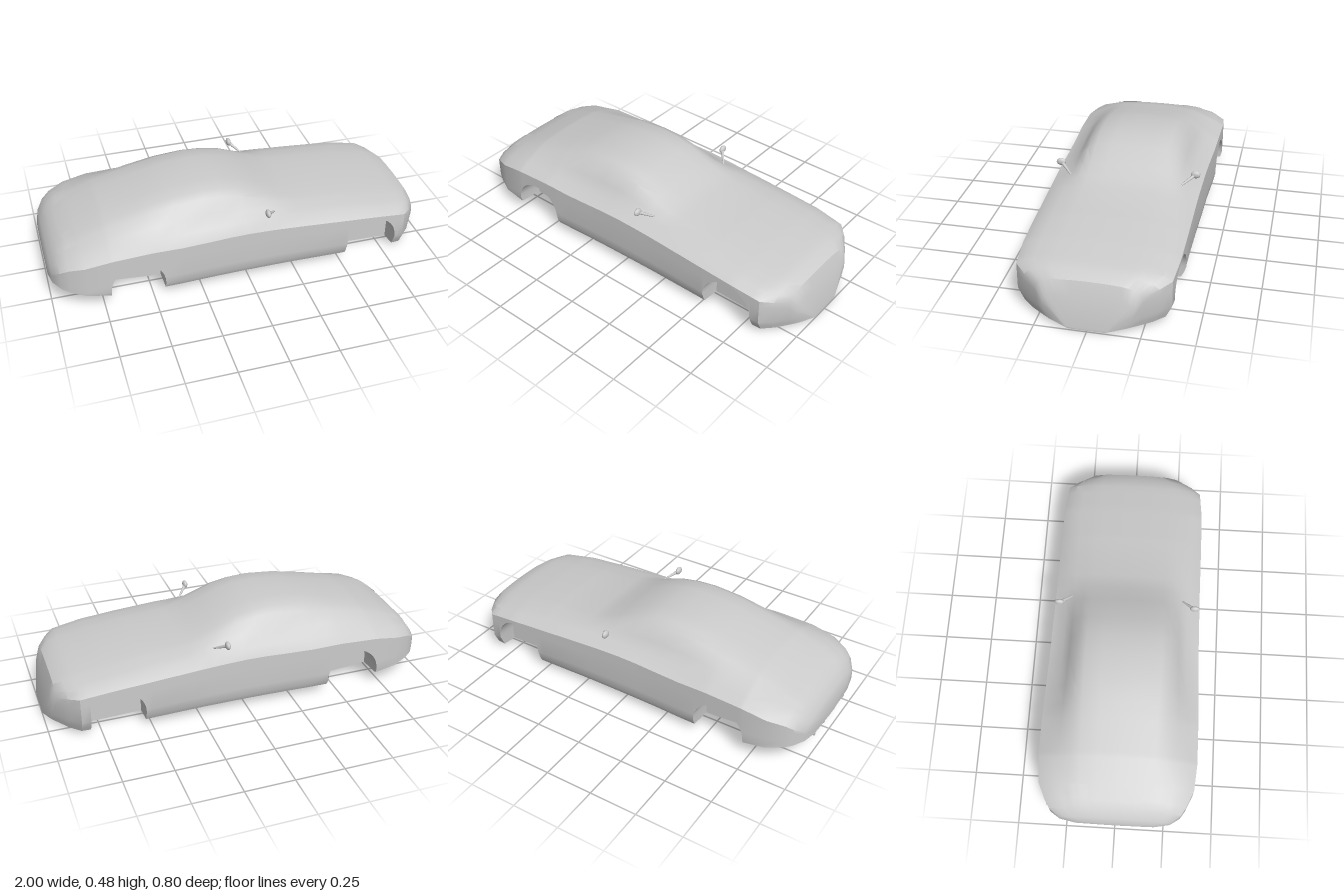
import * as THREE from 'three';
import { toCreasedNormals } from 'three/addons/utils/BufferGeometryUtils.js';

const material = new THREE.MeshStandardMaterial({ color: 0xcccccc });
const thin = new THREE.MeshStandardMaterial({ color: 0xcccccc, side: THREE.DoubleSide });

// Body stations, tail to nose:
// x, top y, floor y, half width, crease y, shoulder z, shoulder y, roof edge z, roof edge y
const stations = [
  [-1.0, 0.19, 0.105, 0.20, 0.155, 0.17, 0.175, 0.10, 0.186],
  [-0.985, 0.23, 0.103, 0.28, 0.18, 0.25, 0.205, 0.15, 0.224],
  [-0.95, 0.27, 0.095, 0.33, 0.215, 0.29, 0.245, 0.19, 0.264],
  [-0.91, 0.30, 0.083, 0.355, 0.24, 0.31, 0.27, 0.20, 0.294],
  [-0.83, 0.335, 0.07, 0.39, 0.262, 0.34, 0.295, 0.205, 0.327],
  [-0.7, 0.385, 0.045, 0.40, 0.285, 0.35, 0.315, 0.21, 0.372],
  [-0.5, 0.435, 0.028, 0.398, 0.293, 0.345, 0.322, 0.21, 0.422],
  [-0.35, 0.47, 0.026, 0.394, 0.288, 0.33, 0.322, 0.215, 0.453],
  [-0.2, 0.48, 0.026, 0.388, 0.29, 0.322, 0.322, 0.215, 0.467],
  [-0.1, 0.475, 0.027, 0.386, 0.294, 0.32, 0.322, 0.214, 0.461],
  [0.0, 0.455, 0.028, 0.385, 0.295, 0.32, 0.322, 0.212, 0.441],
  [0.12, 0.405, 0.026, 0.383, 0.29, 0.32, 0.32, 0.212, 0.39],
  [0.2, 0.37, 0.025, 0.382, 0.285, 0.322, 0.318, 0.212, 0.36],
  [0.28, 0.345, 0.023, 0.382, 0.28, 0.325, 0.315, 0.21, 0.338],
  [0.5, 0.33, 0.016, 0.382, 0.265, 0.33, 0.298, 0.21, 0.322],
  [0.7, 0.305, 0.01, 0.38, 0.25, 0.335, 0.277, 0.21, 0.297],
];
// Nose stations, where the plan rounds in
stations.push(
  [0.85, 0.28, 0.006, 0.367, 0.228, 0.325, 0.253, 0.21, 0.273],
  [0.90, 0.268, 0.004, 0.315, 0.212, 0.285, 0.237, 0.20, 0.261],
  [0.945, 0.24, 0.003, 0.25, 0.19, 0.23, 0.213, 0.17, 0.232],
  [0.97, 0.17, 0.004, 0.215, 0.13, 0.20, 0.15, 0.15, 0.164],
  [1.0, 0.022, 0.008, 0.12, 0.017, 0.10, 0.019, 0.06, 0.021],
);
const wells = [-0.578, 0.667];
const R = 0.137, HUB_Y = 0.1;

function stationAt(x) {
  let i = 1;
  while (i < stations.length - 1 && stations[i][0] < x) i++;
  const a = stations[i - 1], b = stations[i];
  const t = (x - a[0]) / (b[0] - a[0]);
  return a.map((v, k) => THREE.MathUtils.lerp(v, b[k], t));
}

// Half cross-section [z, y] from the floor centre to the roof centre.
// Under an arch the outer floor rises to form the wheel well.
function halfSection(x, arch) {
  const [, top, floor, w, crease, sz, sy, rz, ry] = stationAt(x);
  const edge = floor + Math.min(0.025, (top - floor) * 0.2);
  const low = Math.max(edge, arch);
  const inner = Math.min(0.26, w * 0.7);
  const side = (t) => {
    const y = THREE.MathUtils.lerp(low, crease, t);
    return [w - 0.03 * THREE.MathUtils.clamp((0.09 - y) / 0.06, 0, 1), y];
  };
  return [
    [0, floor], [inner, edge - (edge - floor) * 0.4], [inner, Math.max(low - (edge - floor) * 0.4, arch)],
    side(0), side(0.12), side(0.32), side(0.8), side(1),
    [sz, sy],
    [sz * 0.62 + rz * 0.38, sy * 0.66 + ry * 0.34 + (ry - sy) * 0.06],
    [rz + (sz - rz) * 0.2, ry - (ry - sy) * 0.14],
    [rz * 0.9, ry + (top - ry) * 0.2], [rz * 0.5, ry + (top - ry) * 0.75], [0, top],
  ];
}

function bodyGeometry() {
  // Columns: plain stations plus a fan of columns around each wheel arch
  const columns = [];
  for (const s of stations) {
    if (!wells.some((c) => Math.abs(s[0] - c) <= R)) columns.push([s[0], 0]);
  }
  for (const c of wells) {
    columns.push([c - R, 0]);
    for (let i = 0; i <= 18; i++) {
      const a = Math.PI * (1 - i / 18);
      columns.push([c + R * Math.cos(a), HUB_Y + R * Math.sin(a)]);
    }
    columns.push([c + R, 0]);
  }
  columns.sort((a, b) => (Math.abs(a[0] - b[0]) < 1e-9 ? 0 : a[0] - b[0]));

  const positions = [], index = [];
  let n = 0;
  for (const [x, arch] of columns) {
    const half = halfSection(x, arch);
    const ring = half.concat(half.slice(1, -1).reverse().map(([z, y]) => [-z, y]));
    n = ring.length;
    for (const [z, y] of ring) positions.push(x, y, z);
  }
  const last = (columns.length - 1) * n;
  for (let i = 0; i < columns.length - 1; i++) {
    for (let j = 0; j < n; j++) {
      const a = i * n + j, d = i * n + (j + 1) % n;
      index.push(a, a + n, d + n, a, d + n, d);
    }
  }
  // Tail and nose caps
  for (let j = 1; j < n - 1; j++) {
    index.push(0, j, j + 1, last, last + j + 1, last + j);
  }
  const g = new THREE.BufferGeometry();
  g.setAttribute('position', new THREE.Float32BufferAttribute(positions, 3));
  g.setIndex(index);
  return toCreasedNormals(g, 0.6);
}

// Height of the upper body at a given x and z
function skinY(x, z) {
  const p = halfSection(x, 0).slice(8);
  for (let i = 1; i < p.length; i++) {
    if (z >= p[i][0]) {
      const t = (z - p[i][0]) / (p[i - 1][0] - p[i][0]);
      return THREE.MathUtils.lerp(p[i][1], p[i - 1][1], t);
    }
  }
  return p[p.length - 1][1];
}

// Tail lamp panel following the body skin
function lampGeometry(side) {
  const g = new THREE.PlaneGeometry(1, 1, 8, 8);
  const p = g.attributes.position;
  for (let i = 0; i < p.count; i++) {
    const u = p.getX(i) + 0.5, v = p.getY(i) + 0.5;
    const x = -0.965 + 0.125 * u;
    const z = THREE.MathUtils.lerp(0.12 + 0.02 * u, 0.24 + 0.015 * u, v);
    p.setXYZ(i, x, skinY(x, z) + 0.003, z * side);
  }
  if (side > 0) {
    const ix = g.index.array;
    for (let i = 0; i < ix.length; i += 3) [ix[i], ix[i + 1]] = [ix[i + 1], ix[i]];
  }
  g.computeVertexNormals();
  return g;
}

function add(group, name, geometry, mat = material) {
  const mesh = new THREE.Mesh(geometry, mat);
  mesh.name = name;
  group.add(mesh);
  return mesh;
}

export function createModel() {
  const car = new THREE.Group();
  car.name = 'car';
  add(car, 'body', bodyGeometry());

  for (const side of [1, -1]) {
    const label = side > 0 ? 'PlusZ' : 'MinusZ';
    add(car, 'tailLamp' + label, lampGeometry(side), thin);

    // Door mirror: slanted stalk and rounded head
    const mirror = new THREE.Group();
    mirror.name = 'mirror' + label;
    const from = new THREE.Vector3(0.155, 0.335, 0.288 * side);
    const to = new THREE.Vector3(0.105, 0.37, 0.345 * side);
    const dir = to.clone().sub(from);
    const stalk = add(mirror, 'mirrorStalk', new THREE.CylinderGeometry(0.009, 0.004, dir.length(), 8));
    stalk.position.copy(from).add(to).multiplyScalar(0.5);
    stalk.quaternion.setFromUnitVectors(new THREE.Vector3(0, 1, 0), dir.normalize());
    const head = add(mirror, 'mirrorHead', new THREE.SphereGeometry(1, 14, 10));
    head.scale.set(0.013, 0.02, 0.025);
    head.position.set(0.1, 0.376, 0.354 * side);
    car.add(mirror);

    // Diffuser fins under the tail
    for (const z of [0.06, 0.17]) {
      const fin = add(car, 'diffuserFin', new THREE.BoxGeometry(0.11, 0.035, 0.014));
      fin.position.set(-0.937, 0.098, z * side);
      fin.rotation.z = -0.1;
    }
  }
  return car;
}
